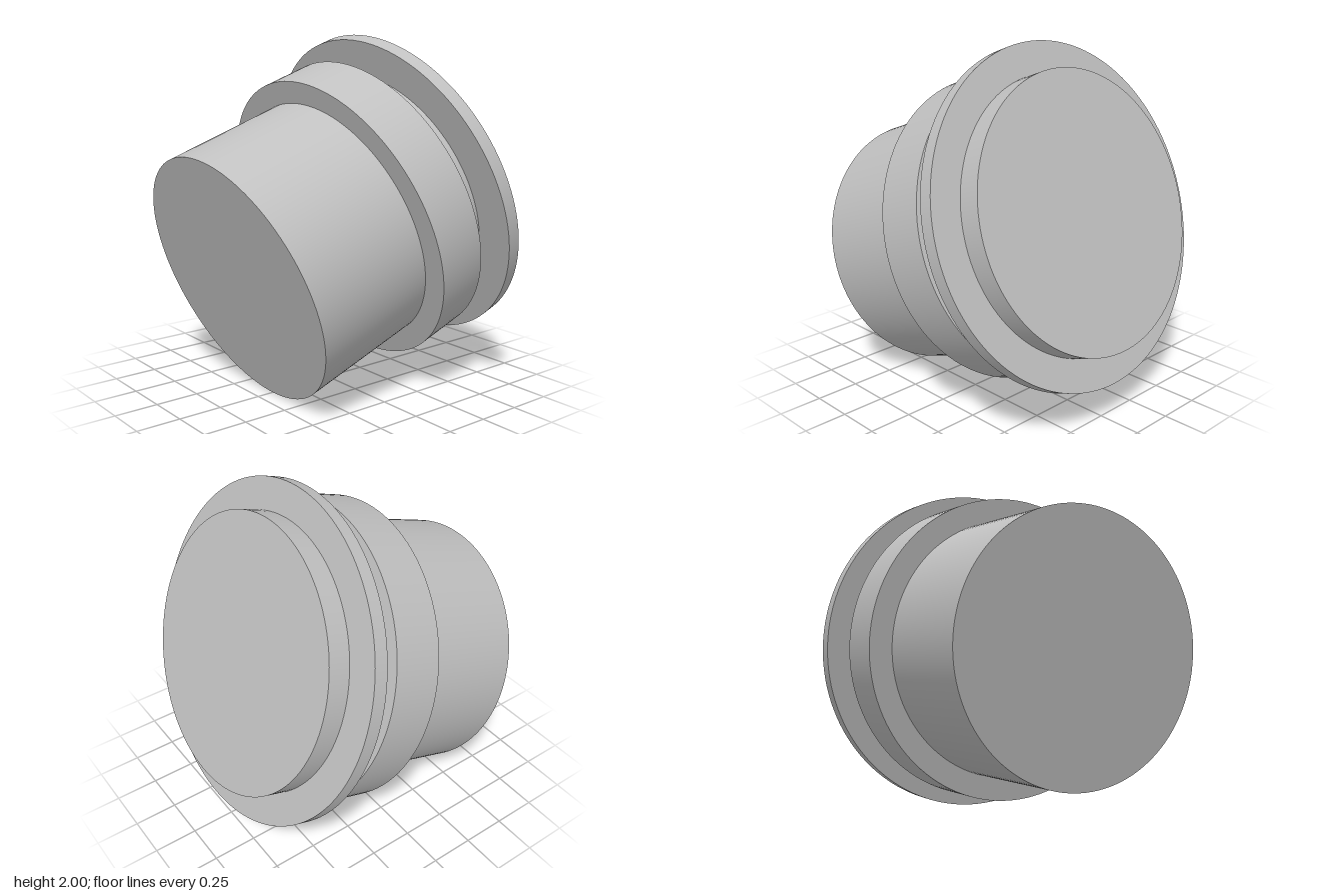
import * as THREE from 'three';

// A tilted turned plug: coaxial sections along one axis
export function createModel() {
  const model = new THREE.Group();
  model.name = 'flangedPlug';

  const grey = new THREE.MeshStandardMaterial({ color: 0xc0c0c0 });
  grey.name = 'plain grey';

  // Axis rises 20 degrees toward +x
  const axis = new THREE.Group();
  axis.name = 'plugAxis';
  axis.rotation.z = THREE.MathUtils.degToRad(-70);
  axis.position.set(-0.299, 0.821, 0);
  model.add(axis);

  // Section of given radius between two stations on the axis
  const addSection = (name, radius, from, to) => {
    const geometry = new THREE.CylinderGeometry(radius, radius, to - from, 128);
    geometry.translate(0, (from + to) / 2, 0);
    const mesh = new THREE.Mesh(geometry, grey);
    mesh.name = name;
    axis.add(mesh);
  };

  addSection('body', 0.734, -0.374, 0.82);
  addSection('collar', 0.863, 0.345, 0.642);
  addSection('flange', 0.941, 0.781, 0.861);
  addSection('endBoss', 0.763, 0.82, 0.989);

  return model;
}
